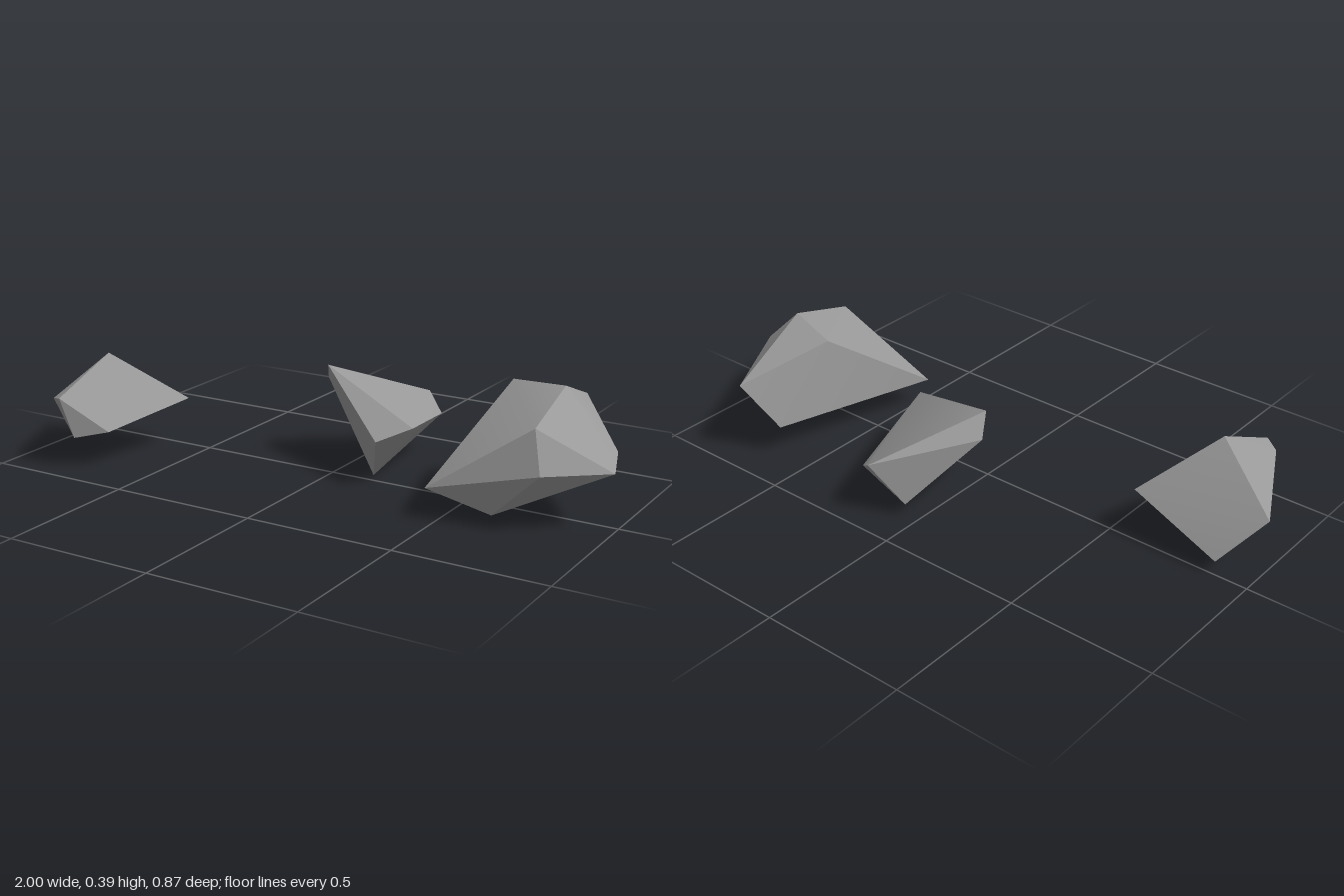
import * as THREE from 'three';
import { ConvexGeometry } from 'three/addons/geometries/ConvexGeometry.js';
import { toCreasedNormals } from 'three/addons/utils/BufferGeometryUtils.js';

// Corner points of each angular stone
const rocks = {
  smallRock: [
    [-0.767, 0.35, 0.2], [-1.0, 0.19, 0.1], [-0.885, 0.047, 0.0], [-0.575, 0.172, 0.013],
    [-0.66, 0.124, 0.347], [-0.79, 0.243, 0.435], [-0.84, 0.23, 0.405], [-0.757, 0.105, 0.408],
  ],
  middleRock: [
    [-0.125, 0.267, -0.18], [-0.088, 0.33, -0.115], [0.302, 0.203, 0.008], [0.206, 0.16, 0.078],
    [0.13, 0.0, -0.045], [0.045, 0.045, -0.36], [0.13, 0.195, -0.435], [0.206, 0.138, -0.38],
  ],
  largeRock: [
    [0.462, 0.1, 0.227], [0.773, 0.39, -0.093], [0.783, 0.32, 0.15], [0.825, 0.192, 0.2],
    [0.66, 0.032, 0.17], [1.0, 0.19, 0.054], [0.965, 0.222, -0.054], [0.709, 0.273, -0.433],
    [0.618, 0.108, -0.35], [0.574, 0.37, -0.148],
  ],
};

export function createModel() {
  const group = new THREE.Group();
  group.name = 'rocks';
  const stone = new THREE.MeshStandardMaterial({ color: 0x999999 });
  stone.name = 'grey stone';

  // Each stone is a convex hull; only the shallow edges are softened
  for (const [name, corners] of Object.entries(rocks)) {
    const hull = new ConvexGeometry(corners.map((p) => new THREE.Vector3(...p)));
    const mesh = new THREE.Mesh(toCreasedNormals(hull, Math.PI / 6), stone);
    mesh.name = name;
    group.add(mesh);
  }
  return group;
}
